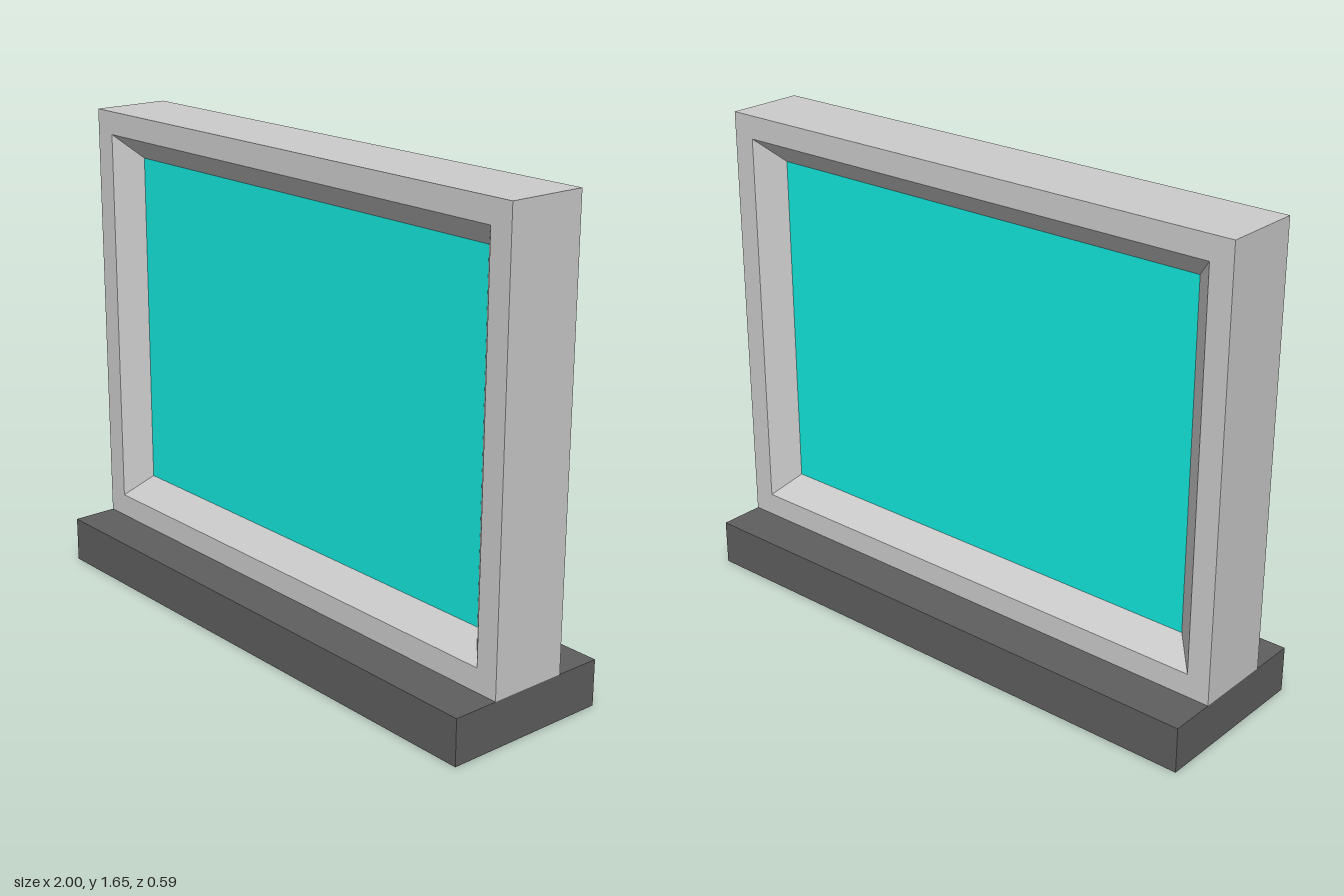
import * as THREE from 'three';

const BASE_TOP = 0.158, TOP = 1.655, MID = (BASE_TOP + TOP) / 2;
const HALF_W = 1, HALF_H = (TOP - BASE_TOP) / 2;
const FRAME_Z = 0.138, PANE_Z = 0.06;

// Sweeps a closed profile of [inset, z] points around a rectangle
function rectangularFrame(profile) {
  const corners = [[-1, -1], [1, -1], [1, 1], [-1, 1]];
  const point = ([inset, z], [sx, sy]) => [sx * (HALF_W - inset), sy * (HALF_H - inset), z];
  const positions = [];
  profile.forEach((p, i) => {
    const q = profile[(i + 1) % profile.length];
    corners.forEach((c, j) => {
      const d = corners[(j + 1) % 4];
      const [a, b, e, f] = [point(p, c), point(p, d), point(q, d), point(q, c)];
      positions.push(...a, ...b, ...e, ...a, ...e, ...f);
    });
  });
  const geometry = new THREE.BufferGeometry();
  geometry.setAttribute('position', new THREE.Float32BufferAttribute(positions, 3));
  geometry.computeVertexNormals();
  return geometry;
}

export function createModel() {
  const group = new THREE.Group();
  const add = (name, geometry, color, y) => {
    const mesh = new THREE.Mesh(geometry, new THREE.MeshStandardMaterial({ color, flatShading: true }));
    mesh.name = name;
    mesh.position.y = y;
    group.add(mesh);
  };

  // Plinth
  add('base', new THREE.BoxGeometry(2, BASE_TOP, 0.594), 0x5f5f5f, BASE_TOP / 2);

  // Frame with a sloped reveal on both faces
  add('frame', rectangularFrame([
    [0, -FRAME_Z], [0, FRAME_Z], [0.08, FRAME_Z],
    [0.16, PANE_Z], [0.16, -PANE_Z], [0.08, -FRAME_Z],
  ]), 0xcccccc, MID);

  // Coloured pane filling the opening
  add('pane', new THREE.BoxGeometry(2 * (HALF_W - 0.16), 2 * (HALF_H - 0.16), 2 * PANE_Z), 0x13e8dd, MID);

  return group;
}
